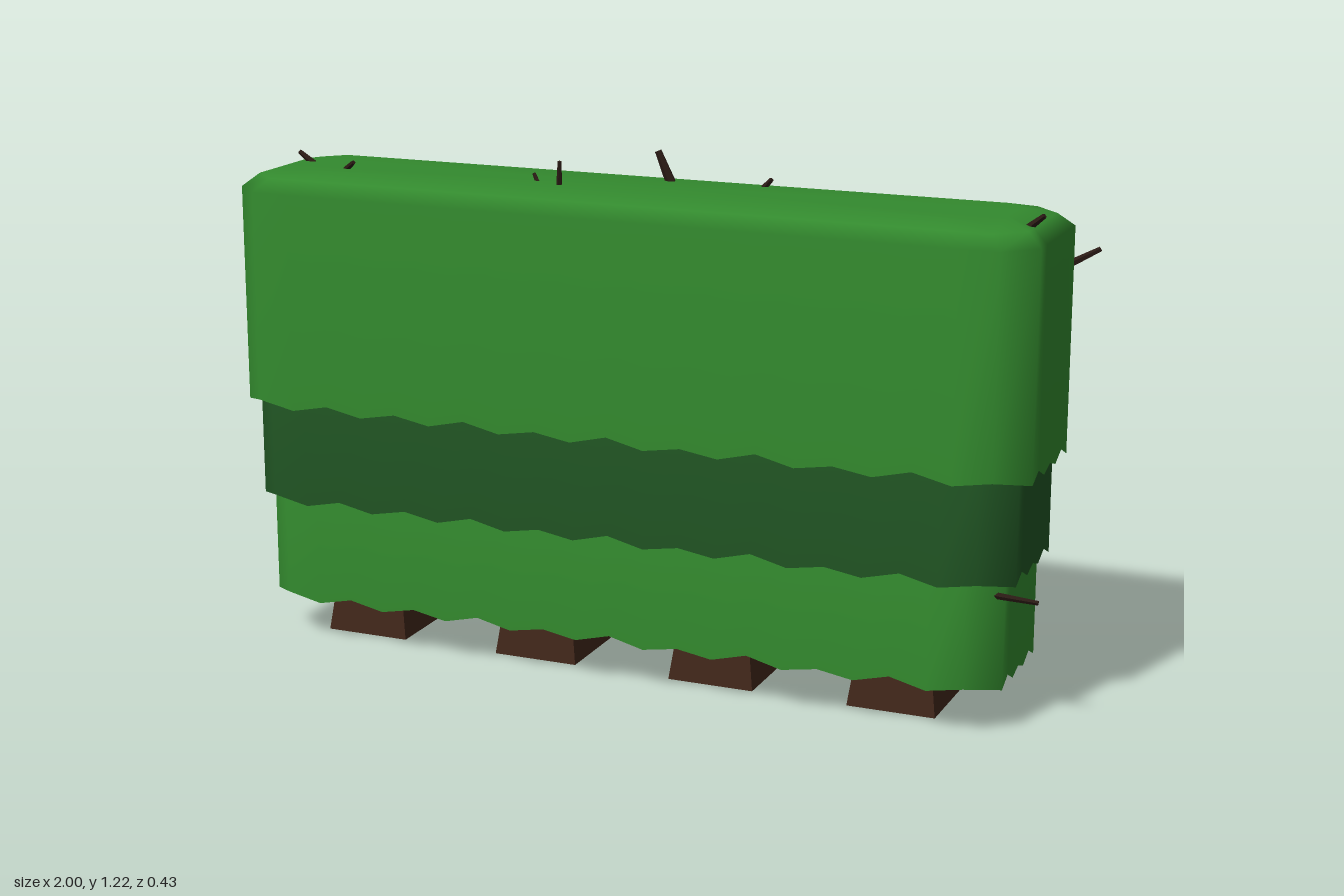
import * as THREE from 'three';

const leaf = new THREE.MeshStandardMaterial({ color: 0x338a2e, side: THREE.DoubleSide });
const darkLeaf = new THREE.MeshStandardMaterial({ color: 0x205423, side: THREE.DoubleSide });
const bark = new THREE.MeshStandardMaterial({ color: 0x40261a, flatShading: true });
const twigBark = new THREE.MeshStandardMaterial({ color: 0x2a1a14, flatShading: true });
const CENTRE_X = -0.025;

// Plan outline: a long rectangle with cut corners, as [x, z] points
function outline(hx, hz, cut) {
  const half = [];
  const ends = 6, sides = 20;
  for (let i = 0; i <= ends; i++) half.push([hx, (hz - cut) * (1 - 2 * i / ends)]);
  for (let i = 0; i <= sides; i++) half.push([(hx - cut) * (1 - 2 * i / sides), -hz]);
  return half.concat(half.map(([x, z]) => [-x, -z]));
}

// Open-bottomed leafy shell with a zigzag hem and a bevelled top
function tier(name, hx, hz, bottom, top, material) {
  const rings = [[0, bottom], [0, top - 0.045], [0.035, top - 0.015], [0.1, top]];
  const pos = [], index = [];
  let n = 0;
  rings.forEach(([inset, y], r) => {
    const pts = outline(hx - inset, hz - inset, 0.07 - inset * 0.25);
    n = pts.length;
    pts.forEach(([x, z], i) => {
      const hem = r === 0 && i % 2 ? 0.018 + 0.004 * Math.sin(i * 1.7) : 0;
      pos.push(x, y + hem, z);
    });
  });
  pos.push(0, top, 0);
  const last = (rings.length - 1) * n;
  for (let i = 0; i < n; i++) {
    const j = (i + 1) % n;
    for (let r = 0; r < rings.length - 1; r++) {
      const a = r * n + i, b = r * n + j;
      index.push(a, b, b + n, a, b + n, a + n);
    }
    index.push(last + i, last + j, last + n);
  }
  const geo = new THREE.BufferGeometry();
  geo.setAttribute('position', new THREE.Float32BufferAttribute(pos, 3));
  geo.setIndex(index);
  geo.computeVertexNormals();
  const mesh = new THREE.Mesh(geo, material);
  mesh.name = name;
  mesh.position.x = CENTRE_X;
  return mesh;
}

// Tapered twig from a base point to a tip
function twig(base, tip, radius) {
  const a = new THREE.Vector3(...base), b = new THREE.Vector3(...tip);
  const dir = b.clone().sub(a);
  const mesh = new THREE.Mesh(new THREE.CylinderGeometry(radius * 0.6, radius, dir.length(), 5), twigBark);
  mesh.position.copy(a).add(b).multiplyScalar(0.5);
  mesh.quaternion.setFromUnitVectors(new THREE.Vector3(0, 1, 0), dir.normalize());
  mesh.name = 'twig';
  return mesh;
}

export function createModel() {
  const hedge = new THREE.Group();
  hedge.name = 'hedge';

  // Three overlapping layers of leaves
  hedge.add(
    tier('lowerLeaves', 0.92, 0.2, 0.1, 0.46, leaf),
    tier('middleLeaves', 0.945, 0.207, 0.345, 0.7, darkLeaf),
    tier('upperLeaves', 0.975, 0.213, 0.58, 1.145, leaf)
  );

  // Four square tapered trunks
  const trunkGeo = new THREE.CylinderGeometry(0.065 * Math.SQRT2, 0.105 * Math.SQRT2, 0.3, 4);
  trunkGeo.rotateY(Math.PI / 4).translate(0, 0.15, 0);
  for (const x of [-0.715, -0.26, 0.19, 0.63]) {
    const trunk = new THREE.Mesh(trunkGeo, bark);
    trunk.name = 'trunk';
    trunk.position.x = x;
    hedge.add(trunk);
  }

  // Twigs poking out of the top and the left end
  const twigs = [
    [[-0.87, 1.13, 0], [-0.925, 1.165, -0.005], 0.01],
    [[-0.78, 1.13, 0.05], [-0.735, 1.163, 0.073], 0.009],
    [[-0.265, 1.13, 0.04], [-0.285, 1.16, 0.028], 0.007],
    [[-0.207, 1.12, 0.06], [-0.2, 1.2, 0.07], 0.008],
    [[0.02, 1.12, -0.085], [-0.02, 1.213, -0.082], 0.014],
    [[0.225, 1.13, -0.095], [0.255, 1.163, -0.095], 0.009],
    [[0.89, 1.12, 0.062], [0.935, 1.157, 0.068], 0.01],
    [[0.92, 1.0, -0.155], [0.995, 1.04, -0.2], 0.01],
    [[0.85, 0.325, 0.145], [0.97, 0.313, 0.13], 0.009]
  ];
  for (const [base, tip, radius] of twigs) hedge.add(twig(base, tip, radius));

  return hedge;
}
